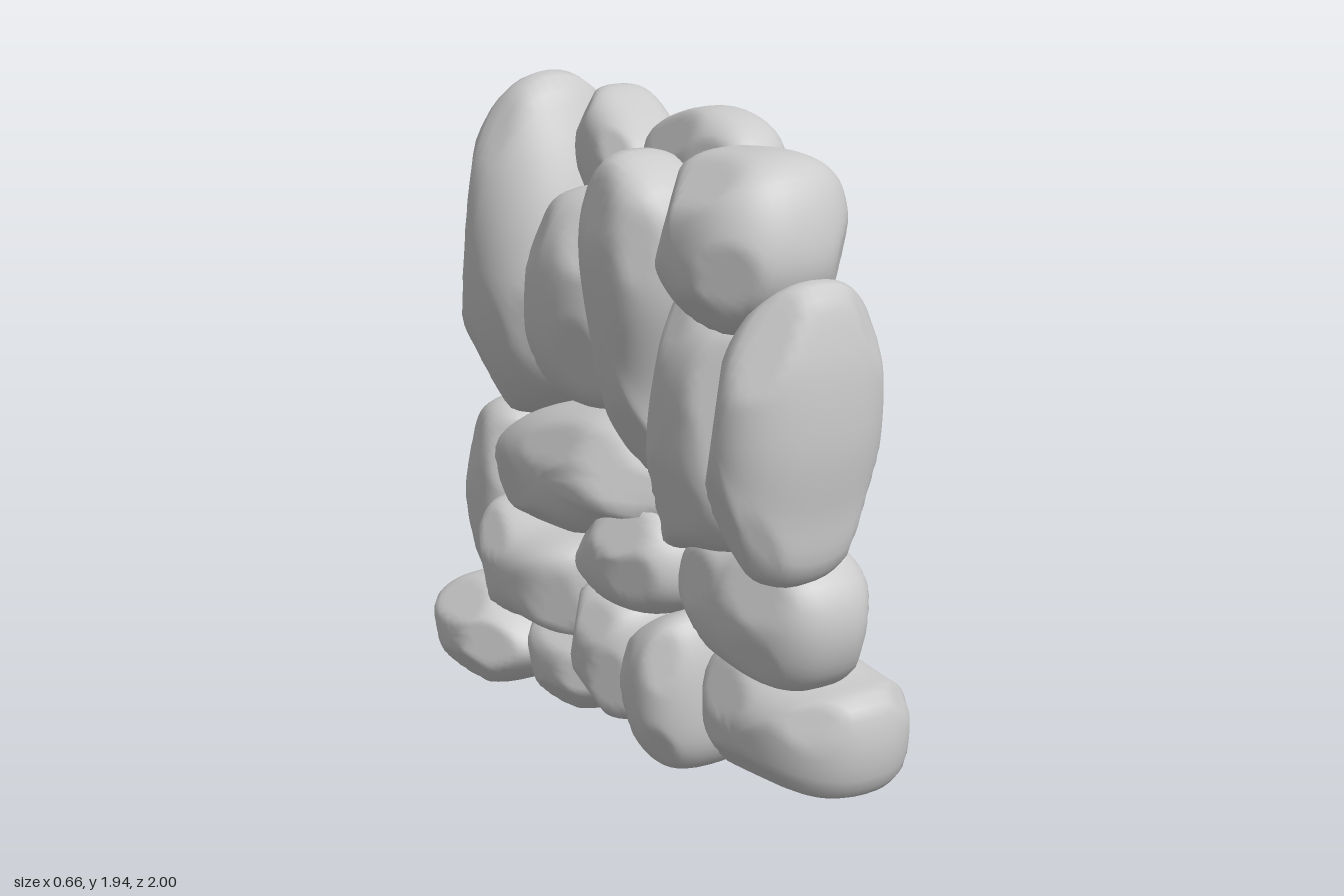
import * as THREE from 'three';

const SIDES = 52, RINGS = 28;

// small seeded generator for the chipped faces
function seeded(seed) {
  let s = seed * 7919 + 17;
  return () => ((s = (s * 16807) % 2147483647) / 2147483647);
}

// One stone: rounded outline in (z, y), bulged between x0 and x1, chipped flat by planes,
// then leaned by leanZ / leanY (x shift per unit of z / y). Higher roundness is less boxy.
function stoneGeometry(seed, x0, x1, leanZ, leanY, outline, roundness) {
  const corners = [];
  for (let i = 0; i < outline.length; i += 2) corners.push(new THREE.Vector3(0, outline[i + 1], outline[i]));
  const ring = new THREE.CatmullRomCurve3(corners, true).getSpacedPoints(SIDES).slice(0, SIDES);
  const box = new THREE.Box3().setFromPoints(ring);
  const mid = box.getCenter(new THREE.Vector3());
  const half = box.getSize(new THREE.Vector3()).multiplyScalar(0.5).setX((x1 - x0) / 2);
  const unitRing = ring.map((p) => p.clone().sub(mid).divide(new THREE.Vector3(1, half.y, half.z)));

  // unit-sized body, ring by ring from -x to +x
  const points = [new THREE.Vector3(-1, 0, 0)];
  for (let j = 1; j < RINGS; j++) {
    const t = -Math.PI / 2 + Math.PI * j / RINGS;
    const s = Math.sign(j - RINGS / 2) * Math.abs(Math.sin(t)) ** roundness;
    const c = Math.cos(t) ** roundness;
    for (const p of unitRing) points.push(new THREE.Vector3(s, p.y * c, p.z * c));
  }
  points.push(new THREE.Vector3(1, 0, 0));

  // flat chips on both faces that leave the outline whole
  const rand = seeded(seed);
  const reach = (list, n) => Math.max(...list.map((p) => p.dot(n)));
  const planes = [];
  for (const side of [-1, 1]) {
    const start = rand() * 6.28;
    for (let k = 0; k < 4; k++) {
      const tilt = 0.45 + rand() * 0.45, a = start + k * 1.571 + (rand() - 0.5) * 0.6;
      const n = new THREE.Vector3(side * Math.cos(tilt), Math.sin(tilt) * Math.sin(a), Math.sin(tilt) * Math.cos(a));
      planes.push([n, Math.max(reach(points, n) * (0.88 + rand() * 0.07), reach(unitRing, n))]);
    }
  }

  const pos = [];
  for (const p of points) {
    let f = 1;
    for (const [n, d] of planes) f = Math.min(f, d / Math.max(d, p.dot(n)));
    p.multiplyScalar(f).multiply(half);
    pos.push((x0 + x1) / 2 + p.x + leanZ * p.z + leanY * p.y, mid.y + p.y, mid.z + p.z);
  }

  const index = [], last = points.length - 1;
  for (let i = 0; i < SIDES; i++) {
    const n = (i + 1) % SIDES;
    index.push(0, 1 + i, 1 + n);
    for (let j = 0; j < RINGS - 2; j++) {
      const a = 1 + j * SIDES, b = a + SIDES;
      index.push(a + i, b + i, a + n, a + n, b + i, b + n);
    }
    index.push(last - SIDES + i, last, last - SIDES + n);
  }
  const g = new THREE.BufferGeometry();
  g.setAttribute('position', new THREE.Float32BufferAttribute(pos, 3));
  g.setIndex(index);
  g.computeVertexNormals();
  return g;
}

export function createModel() {
  const wall = new THREE.Group();
  wall.name = 'stoneWall';
  const material = new THREE.MeshStandardMaterial({ color: 0xcccccc });
  let seed = 1;
  const stone = (name, x0, x1, leanZ, leanY, outline, roundness = 0.75) => {
    const mesh = new THREE.Mesh(stoneGeometry(seed++, x0, x1, leanZ, leanY, outline, roundness), material);
    mesh.name = name;
    wall.add(mesh);
  };

  // bottom course, front to back
  stone('bottomFrontStone', -0.18, 0.31, 0, 0,
    [1, .38, .97, .46, .85, .475, .45, .49, .37, .43, .36, .25, .4, .14, .85, .155, .97, .19, 1, .27], 0.88);
  stone('bottomNarrowStone', -0.24, 0.2, 0, 0,
    [.39, .43, .33, .53, .18, .48, .11, .41, .12, .2, .2, .09, .32, .05, .39, .13]);
  stone('bottomMiddleStone', -0.25, 0.2, 0, 0,
    [.14, .44, .1, .5, -.05, .53, -.15, .5, -.15, .3, -.07, .13, .05, .11, .13, .17]);
  stone('bottomLowStone', -0.21, 0.2, 0, 0,
    [-.04, .18, -.15, .3, -.3, .32, -.5, .28, -.49, .2, -.42, .07, -.25, .04, -.1, .11]);
  stone('bottomBackStone', -0.28, 0.2, 0, 0.1,
    [-.48, .15, -.56, .25, -.75, .31, -.93, .28, -1, .21, -.94, .09, -.8, .01, -.62, .01], 0.7);

  // second course
  stone('secondFrontStone', -0.21, 0.2, 0, 0,
    [.93, .62, .9, .77, .75, .86, .6, .83, .33, .76, .31, .62, .34, .53, .5, .47, .85, .47], 0.8);
  stone('secondSmallStone', -0.25, 0.18, 0, 0,
    [.33, .6, .32, .72, .2, .82, 0, .77, -.15, .67, -.14, .53, 0, .48, .25, .51]);
  stone('secondBackStone', -0.28, 0.21, 0, 0,
    [-.14, .45, -.16, .58, -.4, .6, -.68, .62, -.71, .45, -.67, .27, -.4, .29, -.15, .32]);
  stone('longSlantedStone', -0.26, 0.285, 0, 0,
    [.26, .79, .25, .89, .14, .93, 0, 1.03, -.3, 1, -.6, .89, -.71, .79, -.68, .62, -.4, .58, -.1, .64, .1, .73], 0.82);
  stone('backEndStone', -0.13, 0.2, 0, 0,
    [-.68, .6, -.7, .82, -.82, .88, -.92, .84, -.985, .57, -.96, .36, -.9, .27, -.76, .29, -.68, .42], 0.7);

  // tall upright course
  stone('tallFrontStone', -0.33, 0.17, 0, 0.06,
    [.97, 1.2, .95, 1.45, .89, 1.6, .76, 1.56, .68, 1.4, .66, 1.2, .67, .9, .82, .78, .92, .82, .95, 1], 0.88);
  stone('tallSecondStone', -0.27, 0.19, 0, 0,
    [.68, 1.2, .67, 1.42, .55, 1.5, .4, 1.54, .36, 1.45, .29, 1.2, .26, .9, .3, .73, .4, .75, .67, .84]);
  stone('tallLeaningStone', -0.285, 0.15, 0, -0.16,
    [.38, 1.5, .34, 1.74, .14, 1.84, .02, 1.7, 0, 1.2, .01, 1, .15, .88, .26, .89, .3, 1.15]);
  stone('uprightMiddleStone', -0.25, 0.21, 0, 0,
    [.04, 1.3, .02, 1.58, -.1, 1.66, -.36, 1.62, -.44, 1.4, -.42, 1.1, -.25, 1.01, -.03, 1.06], 0.82);
  stone('tallBackStone', -0.23, 0.33, 0.02, 0,
    [-.38, 1.1, -.42, 1.5, -.53, 1.8, -.62, 1.93, -.75, 1.88, -.85, 1.65, -.91, 1.25, -.91, 1.05, -.82, .86, -.7, .85, -.45, .99], 0.92);

  // capping stones
  stone('capFrontStone', -0.31, 0.17, 0, 0.12,
    [.84, 1.65, .75, 1.87, .5, 1.89, .38, 1.85, .36, 1.55, .64, 1.42, .8, 1.52], 0.86);
  stone('capMiddleStone', -0.055, 0.245, -0.06, 0,
    [.47, 1.72, .4, 1.89, .24, 1.94, .05, 1.91, -.1, 1.83, -.11, 1.72, -.05, 1.54, .3, 1.48, .43, 1.54], 0.78);
  stone('capBackStone', 0, 0.3, -0.2, 0,
    [-.11, 1.63, -.15, 1.76, -.3, 1.86, -.48, 1.9, -.59, 1.72, -.47, 1.53, -.25, 1.55, -.13, 1.58]);

  return wall;
}
